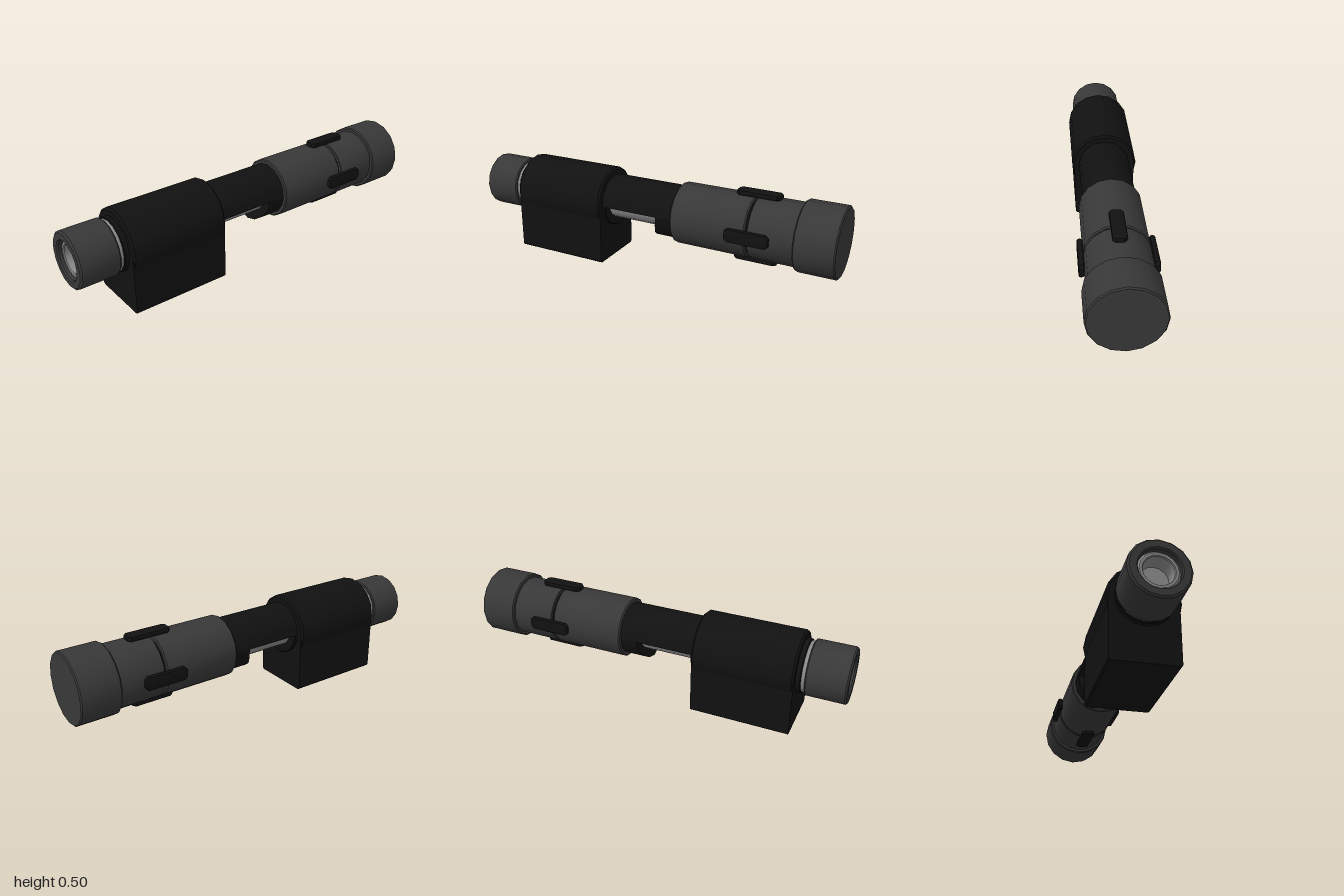
import * as THREE from 'three';
import { toCreasedNormals } from 'three/addons/utils/BufferGeometryUtils.js';

const AXIS = 0.315;
const SIDES = 16;
const mat = (color) => new THREE.MeshStandardMaterial({ color, side: THREE.DoubleSide });

export function createModel() {
  const model = new THREE.Group();
  const black = mat(0x111111);
  const charcoal = mat(0x383838);
  const steel = mat(0x8a8a8a);

  const add = (name, geometry, material, y = AXIS) => {
    const mesh = new THREE.Mesh(toCreasedNormals(geometry, 0.6), material);
    mesh.name = name;
    mesh.position.y = y;
    model.add(mesh);
    return mesh;
  };

  // Turned part lying along x; profile is a list of [x, radius]
  const turned = (profile, start = 0, length = Math.PI * 2) => new THREE.LatheGeometry(
    profile.map(([x, r]) => new THREE.Vector2(r, x)),
    Math.round(SIDES * length / (Math.PI * 2)), start, length,
  ).rotateZ(-Math.PI / 2);

  // Solid cylinder with small chamfers
  const barrel = (x0, x1, r, c = 0.006) => turned([
    [x0, 0], [x0, r - c], [x0 + c, r], [x1 - c, r], [x1, r - c], [x1, 0],
  ]);

  // Front head, body halves and the recessed joint between them
  add('frontCap', barrel(0.8, 1, 0.178), charcoal);
  add('bodyFront', barrel(0.571, 0.81, 0.159, 0.003), charcoal);
  add('bodyRear', barrel(0.165, 0.56, 0.159), charcoal);
  add('bodyJoint', barrel(0.55, 0.58, 0.142, 0.001), black);

  // Four clips bridging the joint
  const clip = new THREE.Shape();
  const cx = 0.102, cz = 0.025, k = 0.01;
  [[-cx + k, -cz], [cx - k, -cz], [cx, -cz + k], [cx, cz - k],
    [cx - k, cz], [-cx + k, cz], [-cx, cz - k], [-cx, -cz + k]]
    .forEach(([x, y], i) => (i ? clip.lineTo(x, y) : clip.moveTo(x, y)));
  for (let i = 0; i < 4; i++) {
    const g = new THREE.ExtrudeGeometry(clip, {
      depth: 0.008, bevelSize: 0.01, bevelThickness: 0.01, bevelSegments: 2,
    });
    g.rotateX(-Math.PI / 2).translate(0.575, 0.166, 0).rotateX(i * Math.PI / 2);
    add('clip' + (i + 1), g, black);
  }

  // Dark tube: full rear length, then only the upper half over the window
  add('tubeRear', barrel(-0.78, -0.22, 0.138, 0.004), black);
  add('tubeTop', turned([[-0.23, 0.138], [0.17, 0.138]], Math.PI, Math.PI), black);
  add('windowLedge', new THREE.BoxGeometry(0.31, 0.006, 0.274).translate(-0.07, 0.003, 0), black);

  // Lower collar with a curved, slanted leading edge
  const collar = turned([[0.075, 0], [0.075, 0.138], [0.17, 0.138]], 0, Math.PI);
  const p = collar.attributes.position;
  for (let i = 0; i < p.count; i++) {
    if (p.getX(i) < 0.1) p.setX(i, 0.075 - 0.04 * (p.getY(i) / 0.138) ** 2);
  }
  add('tubeCollar', collar, black);
  add('innerCore', barrel(-0.24, 0.1, 0.092, 0.001), steel);

  // Mounting block: rounded sleeve above a box foot
  add('mountSleeve', barrel(-0.755, -0.237, 0.175, 0.01), black);
  const foot = new THREE.Shape();
  foot.moveTo(-0.163, 0.008);
  [[-0.155, 0], [0.155, 0], [0.163, 0.008], [0.163, AXIS], [-0.163, AXIS]]
    .forEach(([x, y]) => foot.lineTo(x, y));
  const footGeometry = new THREE.ExtrudeGeometry(foot, { depth: 0.518, bevelEnabled: false });
  footGeometry.rotateY(Math.PI / 2).translate(-0.755, 0, 0);
  add('mountFoot', footGeometry, black, 0);

  // Rear collar and hollow end cap
  add('rearRing', barrel(-0.81, -0.775, 0.13, 0.001), steel);
  add('rearCap', turned([
    [-0.93, 0.096], [-0.992, 0.096], [-1, 0.102], [-1, 0.134],
    [-0.992, 0.143], [-0.804, 0.143], [-0.798, 0.138], [-0.798, 0],
  ]), charcoal);
  add('rearSocket', turned([
    [-0.9, 0], [-0.9, 0.066], [-0.975, 0.07], [-0.98, 0.074], [-0.98, 0.086], [-0.97, 0.096], [-0.93, 0.096],
  ]), steel);

  return model;
}
